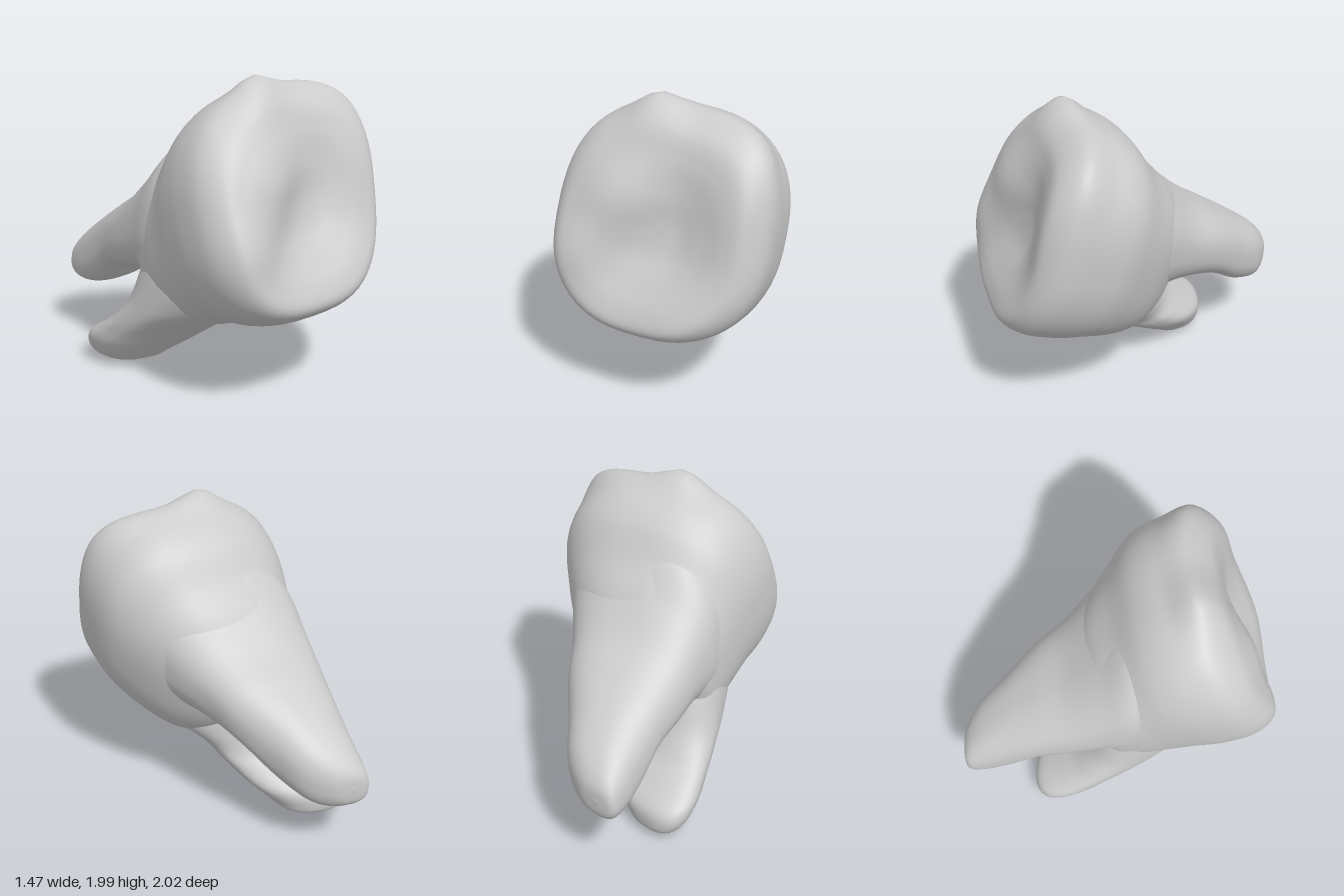
import * as THREE from 'three';

const material = new THREE.MeshStandardMaterial({ color: 0xcccccc });

// Smooth loft through rounded sections [t, centreA, centreB, radiusA, radiusB].
// "place" turns (a, b, t) into a point; "power" above 2 squares the section;
// "lean" draws it out along its rising diagonal.
function loft(name, sections, power, lean, place) {
  const rings = sections.length * 7, sides = 64;
  const centres = new THREE.CatmullRomCurve3(
    sections.map(([t, a, b]) => new THREE.Vector3(a, b, t)), false, 'catmullrom', 0.5);
  const radii = new THREE.CatmullRomCurve3(
    sections.map((s) => new THREE.Vector3(s[3], s[4], 0)), false, 'catmullrom', 0.5);
  const round = (v) => Math.sign(v) * Math.abs(v) ** (2 / power);
  const positions = [], index = [];
  for (let i = 0; i <= rings; i++) {
    const c = centres.getPoint(i / rings), r = radii.getPoint(i / rings);
    for (let j = 0; j < sides; j++) {
      const angle = (j / sides) * Math.PI * 2;
      const a = c.x + Math.max(r.x, 0) * round(Math.cos(angle));
      const b = c.y + Math.max(r.y, 0) * round(Math.sin(angle + lean));
      positions.push(...place(a, b, c.z));
      if (i === rings) continue;
      const p = i * sides + j, q = i * sides + (j + 1) % sides;
      index.push(p, q, q + sides, p, q + sides, p + sides);
    }
  }
  const geometry = new THREE.BufferGeometry();
  geometry.setAttribute('position', new THREE.Float32BufferAttribute(positions, 3));
  geometry.setIndex(index);
  geometry.computeVertexNormals();
  const mesh = new THREE.Mesh(geometry, material);
  mesh.name = name;
  return mesh;
}

const bump = (x, y, cx, cy, size) => Math.exp(-((x - cx) ** 2 + (y - cy) ** 2) / size ** 2);

export function createModel() {
  const tooth = new THREE.Group();
  tooth.name = 'tooth';

  // Crown: slices parallel to the tilted chewing face, closed by a shallow dish
  const crown = [
    [-0.34, -0.2, 0.8, 0, 0],
    [-0.3, -0.19, 0.81, 0.22, 0.2],
    [-0.2, -0.16, 0.83, 0.4, 0.38],
    [-0.05, -0.09, 0.89, 0.5, 0.49],
    [0.15, -0.02, 1.0, 0.58, 0.555],
    [0.35, 0.03, 1.13, 0.645, 0.62],
    [0.55, 0.05, 1.21, 0.67, 0.66],
    [0.74, 0.07, 1.27, 0.66, 0.65],
    [0.86, 0.07, 1.27, 0.57, 0.56],
    [0.87, 0.07, 1.26, 0.45, 0.43],
    [0.83, 0.08, 1.24, 0.28, 0.27],
    [0.79, 0.1, 1.22, 0.12, 0.12],
    [0.78, 0.1, 1.22, 0, 0],
  ];
  tooth.add(loft('crown', crown, 2.5, 0.03, (x, y, t) => {
    // Cusps, a fuller upper left corner and a worn nub rise near the chewing face
    const near = THREE.MathUtils.smoothstep(t, 0.55, 0.78);
    const cusps = 0.07 * bump(x, y, -0.35, 1.13, 0.22) + 0.12 * bump(x, y, -0.15, 1.45, 0.25)
      + 0.03 * bump(x, y, 0.3, 0.85, 0.25) + 0.05 * bump(x, y, 0.6, 1.5, 0.3);
    const corner = 0.04 * near * bump(x, y, 0.58, 1.78, 0.28);
    const nub = 0.085 * near * bump(x, y, -0.05, 1.93, 0.15);
    const z = t - 0.36 * (y - 1.1) - 0.11 * x + near * cusps;
    return [x + corner, y + corner + nub, z];
  }));

  // Upper root: vertical slices flaring from the tip into the crown
  const upperRoot = [
    [-1.0, -0.46, 0.54, 0, 0],
    [-0.98, -0.45, 0.54, 0.12, 0.11],
    [-0.88, -0.38, 0.58, 0.21, 0.2],
    [-0.7, -0.31, 0.68, 0.275, 0.25],
    [-0.5, -0.23, 0.825, 0.35, 0.25],
    [-0.3, -0.175, 0.925, 0.415, 0.29],
    [-0.1, -0.1, 1.04, 0.49, 0.385],
    [0.1, -0.03, 1.13, 0.56, 0.54],
    [0.3, 0.02, 1.15, 0.56, 0.56],
  ];
  tooth.add(loft('upperRoot', upperRoot, 2.4, 0.2, (x, y, z) => [x, y, z]));

  // Lower root: level slices flaring from the tip (section b points to -z)
  const lowerRoot = [
    [0, -0.47, 0.38, 0, 0],
    [0.03, -0.46, 0.37, 0.17, 0.15],
    [0.1, -0.455, 0.34, 0.25, 0.215],
    [0.2, -0.41, 0.265, 0.32, 0.265],
    [0.3, -0.35, 0.14, 0.355, 0.255],
    [0.4, -0.29, 0.01, 0.385, 0.26],
    [0.55, -0.17, -0.16, 0.46, 0.34],
    [0.75, -0.09, -0.28, 0.5, 0.41],
    [0.95, -0.05, -0.32, 0.5, 0.39],
  ];
  tooth.add(loft('lowerRoot', lowerRoot, 2.3, -0.38, (x, b, y) => [x, y, -b]));

  return tooth;
}
